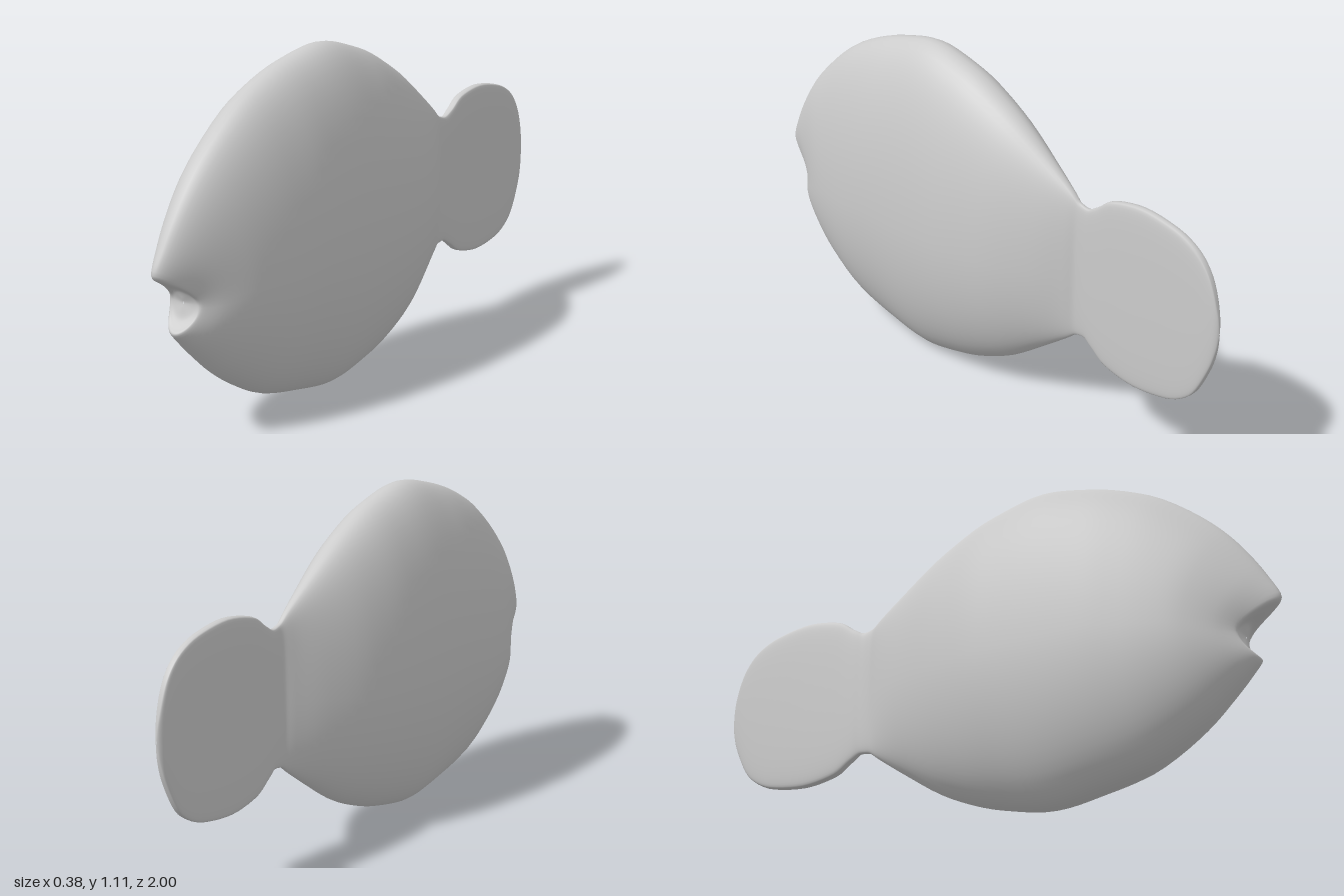
import * as THREE from 'three';

// Cross-sections from the mouth hollow to the tail tip:
// [top z, top y, bottom z, bottom y, side z, side y, half width, side exponent]
const mouth = [
  [0.88, 0.45, 0.88, 0.44, 0.88, 0.445, 0.001, 1],
  [0.895, 0.485, 0.89, 0.4, 0.873, 0.445, 0.04, 1],
  [0.95, 0.515, 0.91, 0.375, 0.872, 0.445, 0.052, 1],
  [1.0, 0.555, 0.925, 0.36, 0.868, 0.445, 0.06, 1],
  [0.96, 0.64, 0.89, 0.32, 0.82, 0.45, 0.095, 1],
  [0.88, 0.765, 0.82, 0.25, 0.75, 0.465, 0.128, 1],
  [0.8, 0.857, 0.73, 0.17, 0.68, 0.475, 0.15, 1],
  [0.6, 1.01, 0.55, 0.065, 0.54, 0.485, 0.175, 1],
];
// Upright sections: [z, top y, bottom y, half width, side exponent]
const bodyAndTail = [
  [0.4, 1.085, 0.028, 0.187, 1],
  [0.23, 1.114, 0.002, 0.188, 1],
  [0.05, 1.075, 0.033, 0.182, 1],
  [-0.13, 0.99, 0.1, 0.153, 1],
  [-0.3, 0.875, 0.21, 0.09, 0.95],
  [-0.4, 0.8, 0.282, 0.038, 0.75],
  [-0.44, 0.767, 0.311, 0.018, 0.5],
  [-0.47, 0.76, 0.315, 0.016, 0.4],
  [-0.51, 0.78, 0.293, 0.02, 0.3],
  [-0.57, 0.82, 0.255, 0.022, 0.3],
  [-0.69, 0.84, 0.235, 0.022, 0.3],
  [-0.82, 0.82, 0.252, 0.02, 0.3],
  [-0.91, 0.775, 0.302, 0.018, 0.3],
  [-0.96, 0.71, 0.385, 0.016, 0.35],
  [-0.985, 0.64, 0.45, 0.012, 0.4],
  [-0.996, 0.59, 0.5, 0.006, 0.5],
  [-1.0, 0.55, 0.54, 0.0005, 1],
].map(([z, top, bottom, w, e]) => [z, top, z, bottom, z, THREE.MathUtils.lerp(bottom, top, 0.45), w, e]);

// Smooth interpolation between sections without overshoot
function tangent(a, b, c) {
  const p = b - a, q = c - b;
  return p * q > 0 ? (2 * p * q) / (p + q) : 0;
}

function blend(rows, i, t) {
  const last = rows.length - 1;
  return rows[i].map((b, k) => {
    const c = rows[i + 1][k];
    const m0 = i > 0 ? tangent(rows[i - 1][k], b, c) : c - b;
    const m1 = i + 1 < last ? tangent(b, c, rows[i + 2][k]) : c - b;
    const t2 = t * t, t3 = t2 * t;
    return (2 * t3 - 3 * t2 + 1) * b + (t3 - 2 * t2 + t) * m0 + (3 * t2 - 2 * t3) * c + (t3 - t2) * m1;
  });
}

// Skin stretched over the sections
function loft(rows, sides, steps) {
  const rings = [];
  for (let i = 0; i < rows.length - 1; i++)
    for (let s = 0; s < steps; s++) rings.push(blend(rows, i, s / steps));
  rings.push(rows[rows.length - 1]);

  const positions = [], index = [];
  rings.forEach(([zt, yt, zb, yb, zs, ys, w, e], i) => {
    for (let j = 0; j < sides; j++) {
      const a = (j / sides) * Math.PI * 2;
      const c = Math.cos(a), s = Math.sin(a);
      const x = Math.abs(c) < 1e-6 ? 0 : w * Math.sign(c) * Math.abs(c) ** e;
      const y = ys + ((s > 0 ? yt : yb) - ys) * Math.abs(s);
      const z = zs + ((s > 0 ? zt : zb) - zs) * Math.abs(s) ** 1.8;
      positions.push(x, y, z);
      if (i === rings.length - 1) continue;
      const p = i * sides + j, q = i * sides + ((j + 1) % sides);
      index.push(p, p + sides, q, q, p + sides, q + sides);
    }
  });
  const geometry = new THREE.BufferGeometry();
  geometry.setAttribute('position', new THREE.Float32BufferAttribute(positions, 3));
  geometry.setIndex(index);
  geometry.computeVertexNormals();
  return geometry;
}

export function createModel() {
  const group = new THREE.Group();
  group.name = 'fish';
  // One continuous skin: mouth, body and flat tail fin
  const body = new THREE.Mesh(
    loft([...mouth, ...bodyAndTail], 64, 5),
    new THREE.MeshStandardMaterial({ color: 0xcccccc })
  );
  body.name = 'bodyWithTailFin';
  group.add(body);
  return group;
}
